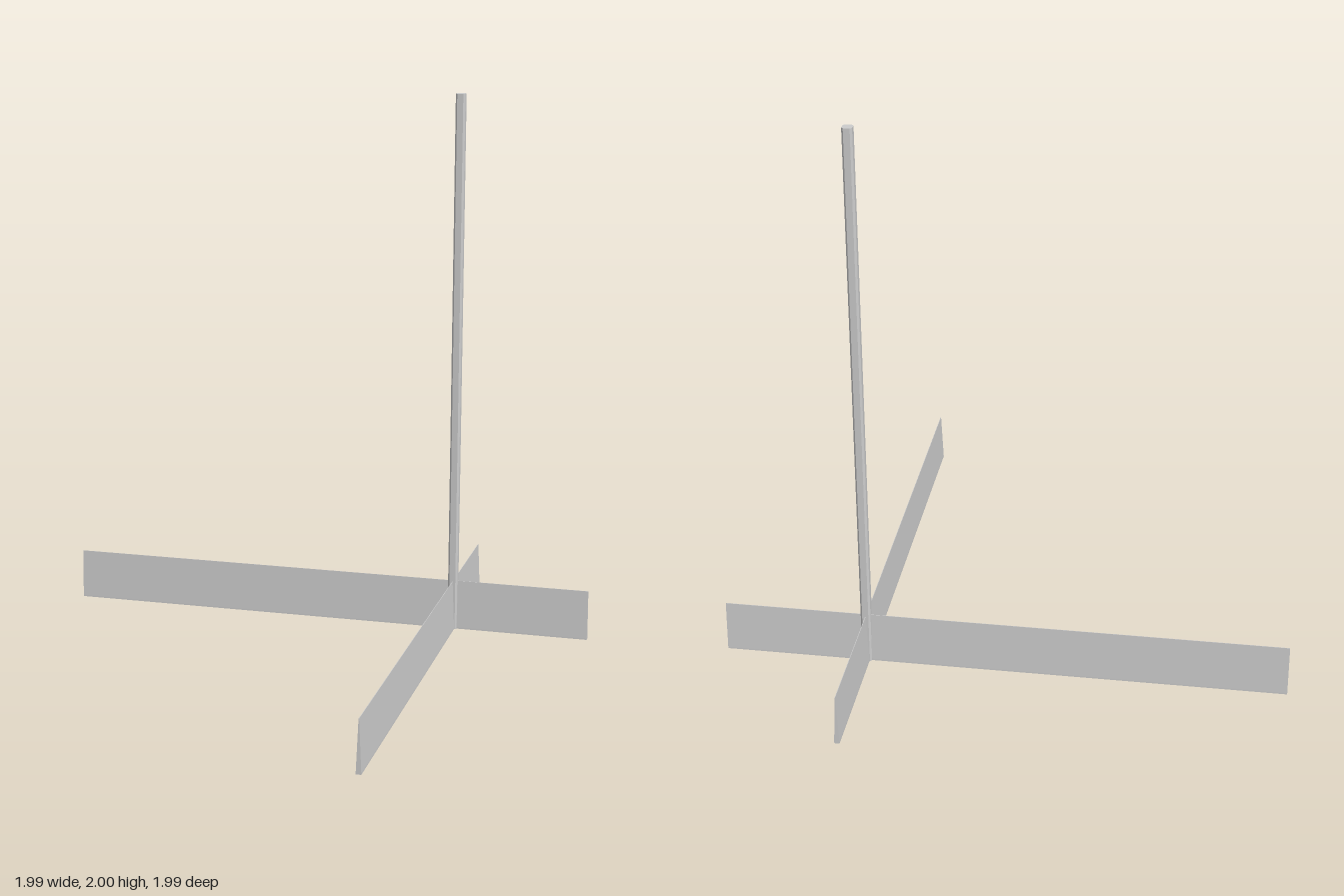
import * as THREE from 'three';

const POST_X = 0.486, POST_Z = -0.491;
const HALF_LENGTH = 0.993;

export function createModel() {
  const group = new THREE.Group();
  const grey = new THREE.MeshStandardMaterial({ color: 0xcccccc });
  grey.name = 'pale grey';

  // Square post with clipped corners
  const h = 0.0175, c = 0.011;
  const section = new THREE.Shape([
    [h, -c], [h, c], [c, h], [-c, h], [-h, c], [-h, -c], [-c, -h], [c, -h],
  ].map(([x, y]) => new THREE.Vector2(x, y)));
  const postGeometry = new THREE.ExtrudeGeometry(section, { depth: 2, bevelEnabled: false });
  postGeometry.rotateX(-Math.PI / 2);
  const post = new THREE.Mesh(postGeometry, grey);
  post.name = 'post';
  post.position.set(POST_X, 0, POST_Z);
  group.add(post);

  // Long foot blades: a thin wedge with a narrow lip along the bottom
  const wedge = new THREE.Shape([
    [-0.009, 0], [0.009, 0], [0.009, 0.006], [0.001, 0.185], [-0.001, 0.185], [-0.009, 0.006],
  ].map(([x, y]) => new THREE.Vector2(x, y)));
  const bladeGeometry = new THREE.ExtrudeGeometry(wedge, { depth: 2 * HALF_LENGTH, bevelEnabled: false });
  bladeGeometry.translate(0, 0, -HALF_LENGTH);

  const lengthwise = new THREE.Mesh(bladeGeometry, grey);
  lengthwise.name = 'lengthwiseFoot';
  lengthwise.position.x = POST_X;

  const crosswise = new THREE.Mesh(bladeGeometry, grey);
  crosswise.name = 'crosswiseFoot';
  crosswise.rotation.y = Math.PI / 2;
  crosswise.position.z = POST_Z;

  group.add(lengthwise, crosswise);
  return group;
}
